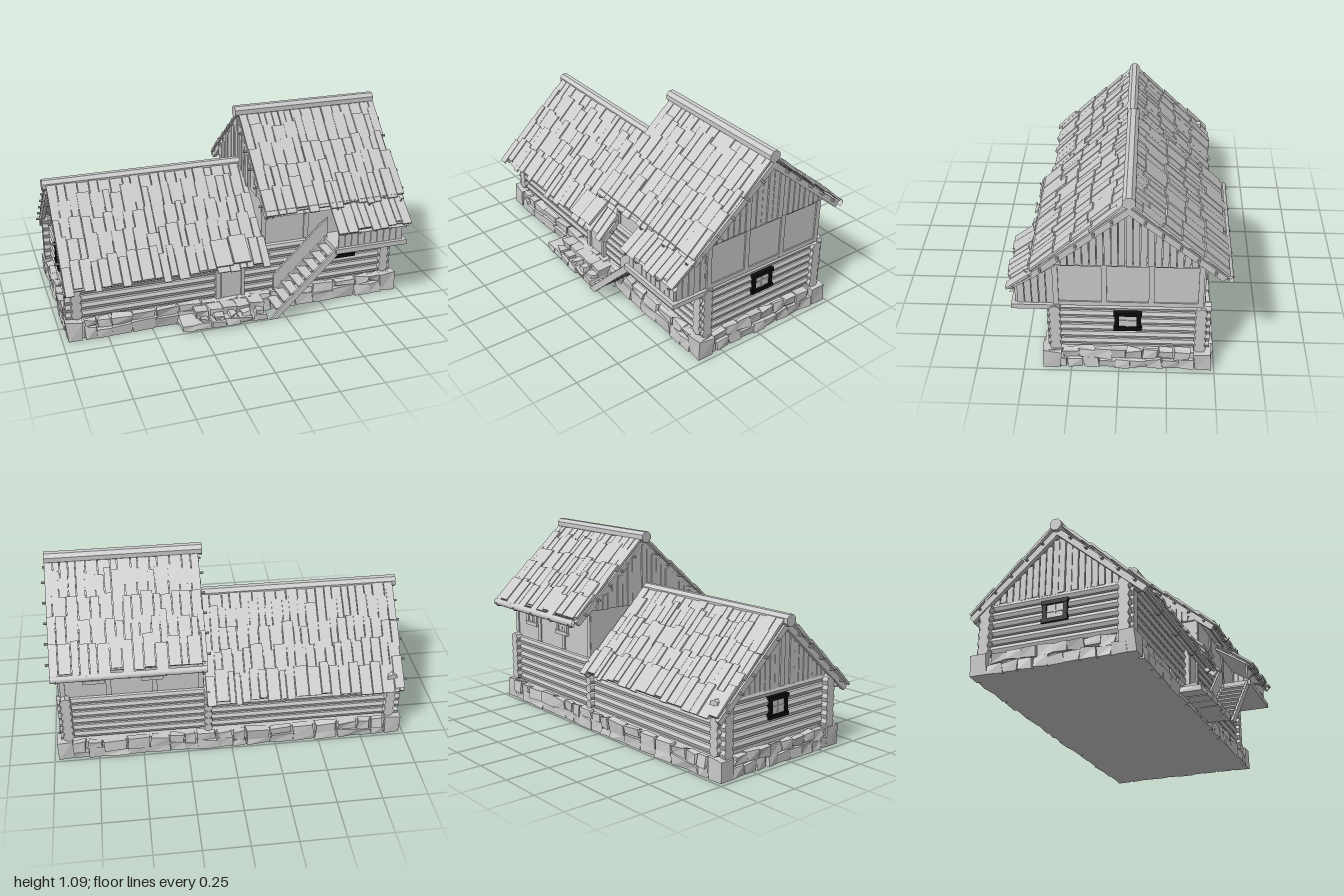
import * as THREE from 'three';
import { mergeGeometries } from 'three/addons/utils/BufferGeometryUtils.js';

const grey = new THREE.MeshStandardMaterial({ color: 0xcccccc, flatShading: true });
const greyBoth = new THREE.MeshStandardMaterial({ color: 0xcccccc, flatShading: true, side: THREE.DoubleSide });
const black = new THREE.MeshStandardMaterial({ color: 0x0c0c0c, flatShading: true });

let seed = 7;
const rnd = (a = 0, b = 1) => {
  seed = (seed * 16807) % 2147483647;
  return a + (b - a) * (seed / 2147483647);
};

// Box given by its limits
const span = (x0, x1, y0, y1, z0, z1) =>
  new THREE.BoxGeometry(x1 - x0, y1 - y0, z1 - z0).translate((x0 + x1) / 2, (y0 + y1) / 2, (z0 + z1) / 2);

function add(parent, name, geos, mat = grey) {
  const mesh = new THREE.Mesh(Array.isArray(geos) ? mergeGeometries(geos) : geos, mat);
  mesh.name = name;
  parent.add(mesh);
  return mesh;
}

// Box with its eight corners pushed about, feet kept level
function stone(x0, x1, y0, y1, z0, z1, j = 0.009) {
  const g = span(x0, x1, y0, y1, z0, z1), p = g.attributes.position, moved = {};
  for (let i = 0; i < p.count; i++) {
    const v = [p.getX(i), p.getY(i), p.getZ(i)], k = v.map(n => n.toFixed(3)).join();
    moved[k] ??= [rnd(-j, j), v[1] < 0.03 ? 0 : rnd(-j, j), rnd(-j, j)];
    p.setXYZ(i, ...v.map((n, a) => n + moved[k][a]));
  }
  return g;
}

// Outline of [z, y] points extruded from x0 to x1
function prism(points, x0, x1) {
  const shape = new THREE.Shape(points.map(([z, y]) => new THREE.Vector2(-z, y)));
  return new THREE.ExtrudeGeometry(shape, { depth: x1 - x0, bevelEnabled: false }).rotateY(Math.PI / 2).translate(x0, 0, 0);
}

const logX = (x0, x1, y, z, r = 0.027) =>
  new THREE.CylinderGeometry(r, r, x1 - x0, 8).rotateZ(Math.PI / 2).translate((x0 + x1) / 2, y, z);
const logZ = (z0, z1, y, x, r = 0.027) =>
  new THREE.CylinderGeometry(r, r, z1 - z0, 8).rotateX(Math.PI / 2).translate(x, y, (z0 + z1) / 2);

// One roof slope from ridge [z, y] to eave [z, y]: deck, overlapping shingles, bargeboards, purlins
function roofSlope(parent, name, x0, x1, ridge, eave, rows, trim = true) {
  const run = eave[0] - ridge[0], drop = ridge[1] - eave[1], len = Math.hypot(run, drop), w = x1 - x0;
  const turn = new THREE.Group(), tilt = new THREE.Group();
  turn.name = name;
  turn.position.set((x0 + x1) / 2, ridge[1], ridge[0]);
  if (run < 0) turn.rotation.y = Math.PI;
  tilt.rotation.x = Math.atan2(drop, Math.abs(run));
  turn.add(tilt);
  parent.add(turn);
  add(tilt, 'roofDeck', span(-w / 2 + 0.015, w / 2 - 0.015, -0.012, 0, 0, len - 0.015));
  const planks = [], step = len / rows;
  for (let r = 0; r < rows; r++) {
    for (let x = -w / 2; x < w / 2 - 0.02;) {
      const pw = Math.min(rnd(0.035, 0.075), w / 2 - x), l = step * rnd(1.2, 1.45);
      const end = (r + 1) * step + rnd(-0.022, 0.016);
      planks.push(new THREE.BoxGeometry(pw - 0.004, 0.011, l).rotateX(-0.07)
        .rotateX(0.13).translate(x + pw / 2, 0.013 + rnd(0, 0.007), Math.max(end - l / 2, l / 2)));
      x += pw;
    }
  }
  add(tilt, 'shingles', planks);
  if (!trim) return;
  const ends = [-1, 1].map(s => span(s * w / 2 - 0.012, s * w / 2 + 0.012, -0.035, -0.002, 0, len).translate(-s * 0.015, 0, 0));
  add(tilt, 'bargeboards', ends);
  const purlins = [];
  for (let i = 1; i <= 5; i++) purlins.push(logX(-w / 2 - 0.02, w / 2 + 0.02, -0.012, i * len / 5.6, 0.007));
  add(tilt, 'purlins', purlins);
}

// Half-round gutter with brackets
function gutter(parent, x0, x1, y, z) {
  const g = new THREE.CylinderGeometry(0.02, 0.02, x1 - x0, 10, 1, true, Math.PI / 2, Math.PI)
    .rotateX(Math.PI).rotateZ(Math.PI / 2);
  g.computeBoundingBox();
  if (g.boundingBox.max.y > 0.01) g.rotateX(Math.PI);
  add(parent, 'gutter', g.translate((x0 + x1) / 2, y, z), greyBoth);
  const hooks = [];
  for (let i = 0; i < 5; i++) {
    const x = x0 + 0.03 + i * (x1 - x0 - 0.06) / 4;
    hooks.push(new THREE.TorusGeometry(0.022, 0.004, 4, 8, Math.PI).rotateZ(Math.PI).rotateY(Math.PI / 2).translate(x, y, z));
  }
  add(parent, 'gutterHooks', hooks);
}

// Vertical boards filling a gable below the roof line
function gableBoards(parent, x, base, ridge, front, back) {
  const boards = [];
  for (let z = back[0]; z < front[0] - 0.015; z += 0.036) {
    const c = z + 0.018, e = c > ridge[0] ? front : back;
    const top = ridge[1] + (e[1] - ridge[1]) * (c - ridge[0]) / (e[0] - ridge[0]) - 0.015;
    const t = rnd(0.006, 0.014);
    if (top > base + 0.01) boards.push(span(x - t, x + t, base + rnd(-0.006, 0), top, z + 0.002, z + 0.034));
  }
  add(parent, 'gableBoards', boards);
}

// Window facing +z, centred on its own origin
function makeWindow(w, h, frameMat) {
  const g = new THREE.Group(), b = 0.022, a = w / 2, c = h / 2;
  g.name = 'window';
  add(g, 'windowFrame', [
    span(-a - 0.005, a + 0.005, c - b, c, -0.02, 0.014), span(-a - 0.005, a + 0.005, -c, -c + b, -0.02, 0.014),
    span(-a, -a + b, -c, c, -0.02, 0.01), span(a - b, a, -c, c, -0.02, 0.01)], frameMat);
  add(g, 'windowPane', span(-a + b, a - b, -c + b, c - b, -0.02, 0.002));
  add(g, 'windowBars', [span(-a + b, a - b, -0.004, 0.004, 0, 0.006), span(-0.004, 0.004, -c + b, c - b, 0, 0.006)]);
  return g;
}

export function createModel() {
  const house = new THREE.Group();
  house.name = 'logHouse';

  // Stone foundation with large corner blocks
  add(house, 'foundationCore', span(-0.95, 0.95, 0, 0.1, -0.465, 0.375));
  const stones = [];
  for (let x = -0.88; x < 0.86;) {
    const w = rnd(0.07, 0.14);
    for (const z of [0.375, -0.465]) {
      const split = rnd(0.04, 0.075);
      stones.push(stone(x, x + w, 0, split, z - 0.02, z + 0.02), stone(x + 0.01, x + w, split, 0.108, z - 0.025, z + 0.012));
    }
    x += w;
  }
  for (let z = -0.39; z < 0.28; z += 0.083) {
    for (const x of [-0.948, 0.948]) stones.push(stone(x - 0.02, x + 0.02, 0, 0.055, z, z + 0.08), stone(x - 0.02, x + 0.014, 0.06, 0.11, z + 0.02, z + 0.1));
  }
  for (const x of [-0.93, 0.93]) for (const z of [0.35, -0.44]) stones.push(stone(x - 0.045, x + 0.045, 0, 0.112, z - 0.045, z + 0.045));
  add(house, 'foundationStones', stones);

  // Solid bodies behind the logs and boards
  add(house, 'lowerBody', prism([[0.33, 0.09], [0.33, 0.42], [-0.03, 0.73], [-0.42, 0.37], [-0.42, 0.09]], -0.91, 0.2));
  add(house, 'groundFloorBody', span(0.15, 0.91, 0.09, 0.4, -0.42, 0.33));
  add(house, 'upperStorey', prism([[0.335, 0.395], [0.335, 0.69], [-0.05, 1.005], [-0.43, 0.69], [-0.43, 0.395]], 0.15, 0.935));

  // Log walls with crossed ends
  const logs = [], ends = [];
  for (let i = 0; i < 6; i++) {
    const y = 0.135 + i * 0.047;
    for (const z of [0.33, -0.42]) {
      logs.push(logX(-0.955, 0.945, y, z));
      for (const x of [-0.95, 0.935]) ends.push(logX(x - 0.02, x + 0.02, y, z, 0.032));
    }
    for (const x of [-0.91, 0.91]) {
      logs.push(logZ(-0.455, 0.355, y + 0.012, x));
      for (const z of [0.35, -0.45]) ends.push(logZ(z - 0.02, z + 0.02, y + 0.012, x, 0.031));
    }
    ends.push(logZ(-0.47, -0.4, y, 0.13, 0.024));
  }
  add(house, 'wallLogs', logs);
  add(house, 'logEnds', ends);

  // Upper storey posts and rails
  const frame = [];
  for (const z of [0.32, 0.075, -0.165, -0.415]) frame.push(span(0.93, 0.943, 0.41, 0.68, z - 0.014, z + 0.014));
  for (const y of [0.415, 0.67]) frame.push(span(0.93, 0.942, y - 0.013, y + 0.013, -0.43, 0.335));
  for (const x of [0.165, 0.42, 0.67, 0.92]) frame.push(span(x - 0.014, x + 0.014, 0.4, 0.68, 0.33, 0.342), span(x - 0.014, x + 0.014, 0.4, 0.68, -0.437, -0.425));
  add(house, 'upperFrame', frame);

  // Gables
  for (const x of [0.145, 0.945]) gableBoards(house, x, 0.675, [-0.05, 1.03], [0.335, 0.69], [-0.43, 0.69]);
  gableBoards(house, -0.925, 0.4, [-0.03, 0.74], [0.34, 0.42], [-0.43, 0.39]);

  // Roofs, ridges and gutters
  roofSlope(house, 'highRoofFront', 0.135, 0.97, [-0.05, 1.035], [0.45, 0.62], 5);
  roofSlope(house, 'highRoofBack', 0.135, 0.97, [-0.05, 1.035], [-0.54, 0.625], 5);
  roofSlope(house, 'lowRoofFront', -0.98, 0.165, [-0.03, 0.755], [0.455, 0.325], 5);
  roofSlope(house, 'lowRoofBack', -0.98, 0.14, [-0.03, 0.755], [-0.505, 0.325], 5);
  roofSlope(house, 'balconyRoof', 0.52, 0.965, [0.325, 0.67], [0.56, 0.51], 2, false);
  const cap = (x0, x1, y, z) => new THREE.CylinderGeometry(0.034, 0.034, x1 - x0, 8).rotateY(Math.PI / 8)
    .rotateZ(Math.PI / 2).translate((x0 + x1) / 2, y, z);
  add(house, 'highRidge', cap(0.115, 0.968, 1.059, -0.05));
  add(house, 'lowRidge', cap(-1, 0.15, 0.757, -0.03));
  gutter(house, 0.14, 0.97, 0.615, -0.55);
  gutter(house, 0.14, 0.97, 0.63, 0.45);
  gutter(house, -0.97, 0.15, 0.34, 0.4);
  gutter(house, 0.53, 0.96, 0.515, 0.55);

  // Balcony with boarded front and side
  const balcony = [span(0.52, 0.95, 0.38, 0.408, 0.3, 0.55)];
  for (let x = 0.54; x < 0.92; x += 0.039) balcony.push(span(x, x + 0.036, 0.405, rnd(0.515, 0.53), 0.52 - rnd(0, 0.006), 0.53));
  for (let z = 0.335; z < 0.515; z += 0.037) balcony.push(span(0.92, 0.93 + rnd(0, 0.006), 0.405, 0.655 - (z - 0.32) * 0.68, z, z + 0.034));
  add(house, 'balcony', balcony);

  // Stairs: stringers, treads and sloping boarded parapet
  const sheet = (pts, z0, d) => new THREE.ExtrudeGeometry(new THREE.Shape(pts.map(p => new THREE.Vector2(...p))),
    { depth: d, bevelEnabled: false }).translate(0, 0, z0);
  const stringer = [[0.14, 0.02], [0.19, 0.02], [0.57, 0.4], [0.53, 0.41]];
  add(house, 'stairStringers', [sheet(stringer, 0.52, 0.014), sheet(stringer, 0.37, 0.014)]);
  add(house, 'stairParapet', sheet([[0.22, 0.1], [0.22, 0.205], [0.5, 0.49], [0.54, 0.52], [0.54, 0.4]], 0.36, 0.012));
  const treads = [];
  for (let i = 0; i < 8; i++) treads.push(span(0.18 + i * 0.043, 0.235 + i * 0.043, 0.07 + i * 0.041, 0.08 + i * 0.041, 0.37, 0.525));
  add(house, 'stairTreads', treads);

  // Stone landing
  const landing = [];
  for (let x = -0.35; x < 0.13; x += 0.08) {
    landing.push(stone(x, x + 0.077, 0.02, 0.055, 0.37, 0.52));
    if (x > -0.3) landing.push(stone(x, x + 0.076, 0.055, 0.1, 0.37, 0.46), stone(x + 0.02, x + 0.07, 0.05, 0.075, 0.46, 0.51));
  }
  add(house, 'landingStones', landing);

  // Door with posts and a raised board cover above it
  add(house, 'door', span(-0.09, 0.025, 0.11, 0.4, 0.33, 0.366));
  add(house, 'doorPosts', [span(-0.125, -0.095, 0.11, 0.4, 0.33, 0.375), span(0.025, 0.045, 0.11, 0.4, 0.33, 0.375)]);
  const cover = add(house, 'doorCover', [span(-0.1, -0.003, -0.006, 0.006, -0.08, 0.08), span(0.003, 0.1, -0.004, 0.012, -0.09, 0.075)]);
  cover.position.set(-0.05, 0.415, 0.405);
  cover.rotation.x = 0.68;

  // Windows
  const windows = [
    [0.655, 0.31, 0.355, 0, black, 0.13, 0.12], [0.935, 0.3, -0.045, Math.PI / 2, black, 0.135, 0.12],
    [-0.935, 0.3, -0.045, -Math.PI / 2, black, 0.135, 0.12],
    [0.75, 0.54, -0.432, Math.PI, grey, 0.11, 0.11], [0.43, 0.54, -0.432, Math.PI, grey, 0.11, 0.11]];
  for (const [x, y, z, turn, mat, w, h] of windows) {
    const win = makeWindow(w, h, mat);
    win.position.set(x, y, z);
    win.rotation.y = turn;
    house.add(win);
  }
  return house;
}
